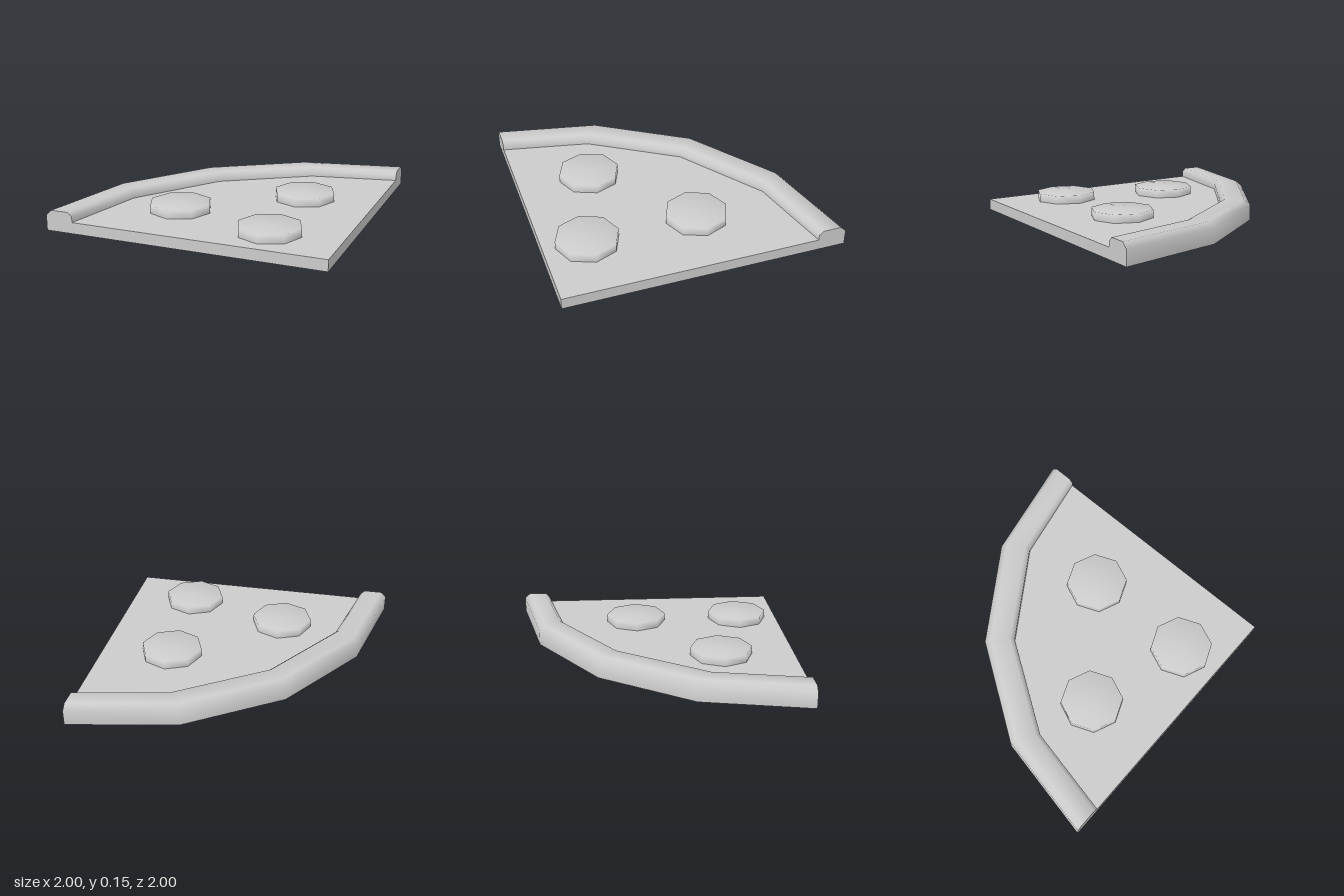
import * as THREE from 'three';
import { toCreasedNormals } from 'three/addons/utils/BufferGeometryUtils.js';

const BASE_TOP = 0.08;
const STEPS = 4;
// Inner foot of the crust (x, z), from the front end round to the back end
const INNER = [[-0.8, 1], [-0.67, 0.36], [-0.26, -0.26], [0.36, -0.67], [1, -0.8]];
// Crust section: [0 = outer edge .. 1 = inner edge, height]
const SECTION = [[0, 0], [0, 0.11], [0.2, 0.148], [0.85, 0.148], [1, 0.12], [1, BASE_TOP], [1, 0]];

function crustGeometry() {
  const pos = [], index = [], n = SECTION.length;
  for (let s = 0; s <= STEPS; s++) {
    const a = (s / STEPS) * Math.PI / 2;
    const ox = 1 - 2 * Math.cos(a), oz = 1 - 2 * Math.sin(a);
    const [ix, iz] = INNER[s];
    for (const [t, y] of SECTION) pos.push(ox + (ix - ox) * t, y, oz + (iz - oz) * t);
  }
  for (let s = 0; s < STEPS; s++) {
    for (let k = 0; k < n; k++) {
      const a = s * n + k, b = s * n + (k + 1) % n;
      index.push(a, b, b + n, a, b + n, a + n);
    }
  }
  // End caps
  const last = STEPS * n;
  for (let k = 1; k < n - 1; k++) {
    index.push(0, k + 1, k, last, last + k, last + k + 1);
  }
  const geo = new THREE.BufferGeometry();
  geo.setAttribute('position', new THREE.Float32BufferAttribute(pos, 3));
  geo.setIndex(index);
  return toCreasedNormals(geo, 1.0);
}

export function createModel() {
  const group = new THREE.Group();
  group.name = 'pizzaSlice';
  const material = new THREE.MeshStandardMaterial({ color: 0xcccccc });
  const add = (name, geometry) => {
    const mesh = new THREE.Mesh(geometry, material);
    mesh.name = name;
    group.add(mesh);
    return mesh;
  };

  // Flat wedge of base inside the crust
  const wedge = new THREE.Shape([[1, 1], ...INNER].map(([x, z]) => new THREE.Vector2(x, z)));
  const base = new THREE.ExtrudeGeometry(wedge, { depth: BASE_TOP, bevelEnabled: false });
  base.rotateX(Math.PI / 2).translate(0, BASE_TOP, 0);
  add('base', base);

  // Raised rim along the curved edge
  add('crust', crustGeometry());

  // Eight-sided, softly shaded topping discs
  const disc = new THREE.LatheGeometry(
    [[0.223, 0], [0.223, 0.06], [0, 0.065]].map(([r, y]) => new THREE.Vector2(r, y)), 8);
  [[0.485, -0.105], [-0.24, 0.47], [0.505, 0.69]].forEach(([x, z], i) => {
    add('topping' + (i + 1), disc).position.set(x, BASE_TOP, z);
  });

  return group;
}
